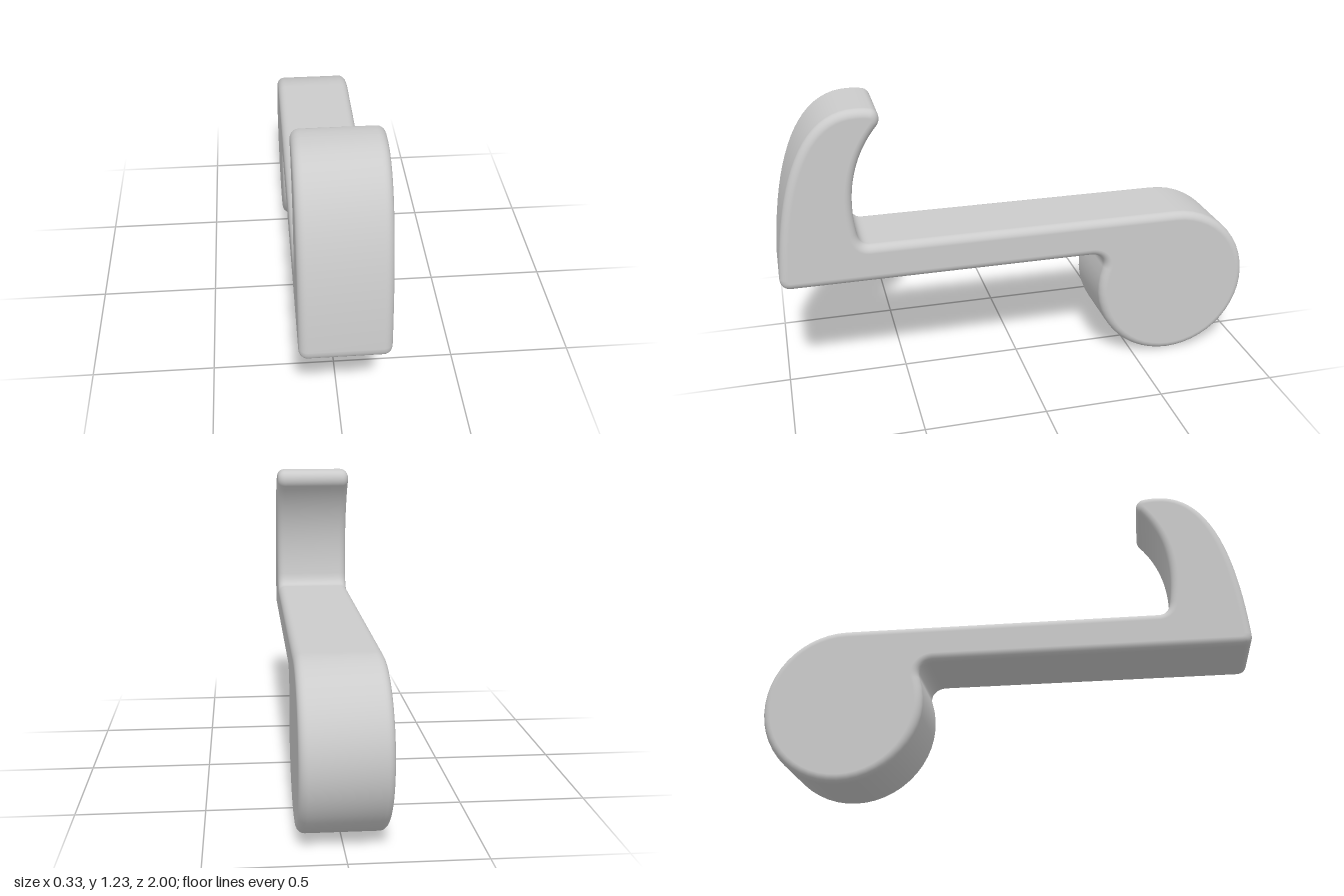
import * as THREE from 'three';
import { mergeVertices } from 'three/addons/utils/BufferGeometryUtils.js';

const R = 1 / 3;          // radius of the round end
const HALF = 1 / 6;       // half width along x
const ROUND = 0.033;      // rounding of the side edges

// Side profile, drawn as (z, y)
function hookProfile() {
  const s = new THREE.Shape();
  s.moveTo(-2 * R, 2 * R);
  s.lineTo(0.635, 2 * R);                                          // top of the arm
  s.bezierCurveTo(0.665, 2 * R, 0.68, 0.685, 0.686, 0.72);         // inner fillet
  s.bezierCurveTo(0.71, 0.87, 0.69, 1.03, 0.583, 1.155);           // inside of the hook
  s.bezierCurveTo(0.562, 1.18, 0.572, 1.222, 0.605, 1.226);        // rounded tip
  s.bezierCurveTo(0.625, 1.23, 0.64, 1.23, 0.66, 1.23);
  s.bezierCurveTo(0.87, 1.23, 0.97, 0.97, 1.0, 0.555);             // outer back of the hook
  s.bezierCurveTo(1.0, 0.525, 0.985, 0.507, 0.955, 0.507);         // lower corner
  s.lineTo(-0.29, 0.507);                                          // underside of the arm
  s.bezierCurveTo(-0.335, 0.507, -0.36, 0.475, -2 * R + R * Math.cos(0.327), R + R * Math.sin(0.327));
  s.absarc(-2 * R, R, R, 0.327, Math.PI / 2, true);                // round end
  return s;
}

export function createModel() {
  let geo = new THREE.ExtrudeGeometry(hookProfile(), {
    depth: 2 * (HALF - ROUND), curveSegments: 20,
    bevelEnabled: true, bevelThickness: ROUND, bevelSize: ROUND, bevelOffset: -ROUND, bevelSegments: 6,
  });
  geo.translate(0, 0, -(HALF - ROUND));
  geo.rotateY(-Math.PI / 2);
  geo.deleteAttribute('uv');
  geo.deleteAttribute('normal');
  geo = mergeVertices(geo, 1e-5);
  geo.computeVertexNormals();

  // Smooth normals: flat on the sides, turning evenly round the rounded edges
  const p = geo.attributes.position, n = geo.attributes.normal;
  for (let i = 0; i < p.count; i++) {
    const x = p.getX(i);
    const nx = THREE.MathUtils.clamp((Math.abs(x) - (HALF - ROUND)) / ROUND, 0, 1);
    const len = Math.hypot(n.getY(i), n.getZ(i)) || 1;
    const k = Math.sqrt(1 - nx * nx) / len;
    n.setXYZ(i, Math.sign(x) * nx, n.getY(i) * k, n.getZ(i) * k);
  }

  const hook = new THREE.Mesh(geo, new THREE.MeshStandardMaterial({ color: 0xcccccc }));
  hook.name = 'hookArm';
  const group = new THREE.Group();
  group.name = 'hook';
  group.add(hook);
  return group;
}
